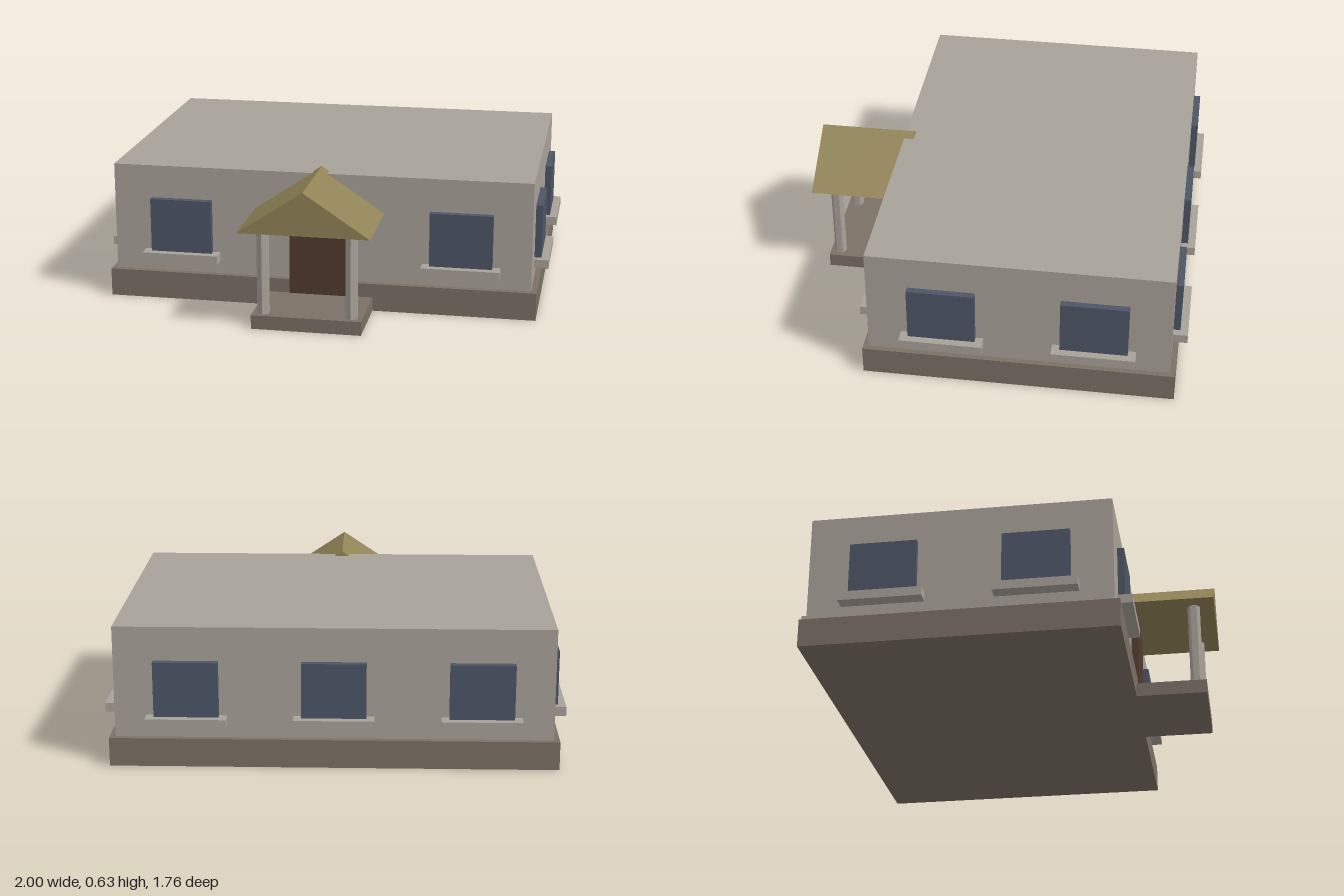
import * as THREE from 'three';

const mat = (name, color) => {
  const m = new THREE.MeshStandardMaterial({ color });
  m.name = name;
  return m;
};

export function createModel() {
  const stone = mat('wall stone', 0xa8a299);
  const base = mat('plinth brown', 0x7b7065);
  const glass = mat('window blue grey', 0x4d5667);
  const wood = mat('door brown', 0x523b2e);
  const tan = mat('porch roof tan', 0x918357);

  const house = new THREE.Group();
  house.name = 'house';

  // Box given by its minimum and maximum on each axis
  const box = (name, material, [x0, x1], [y0, y1], [z0, z1], parent = house) => {
    const mesh = new THREE.Mesh(new THREE.BoxGeometry(x1 - x0, y1 - y0, z1 - z0), material);
    mesh.position.set((x0 + x1) / 2, (y0 + y1) / 2, (z0 + z1) / 2);
    mesh.name = name;
    parent.add(mesh);
    return mesh;
  };

  // Main block on its plinth
  box('plinth', base, [-0.96, 0.96], [0, 0.125], [-0.84, 0.515]);
  box('walls', stone, [-0.935, 0.935], [0.01, 0.613], [-0.815, 0.49]);

  // Window with sill, facing +z before it is turned; z = 0 is the wall face
  const addWindow = (x, z, turn, width) => {
    const group = new THREE.Group();
    group.name = 'window';
    const w = width / 2, s = w + 0.034;
    box('pane', glass, [-w, w], [0.222, 0.465], [-0.02, 0.03], group);
    box('sill', stone, [-s, s], [0.184, 0.224], [-0.02, 0.064], group);
    group.position.set(x, 0, z);
    group.rotation.y = turn;
    house.add(group);
  };
  for (const x of [-0.627, 0.627]) addWindow(x, 0.49, 0, 0.276);
  for (const x of [-0.627, 0, 0.627]) addWindow(x, -0.815, Math.PI, 0.276);
  for (const z of [0.166, -0.488]) {
    addWindow(0.935, z, Math.PI / 2, 0.29);
    addWindow(-0.935, z, -Math.PI / 2, 0.29);
  }

  // Door and porch step
  box('door', wood, [-0.133, 0.133], [0.06, 0.446], [0.47, 0.52]);
  box('porchStep', base, [-0.24, 0.24], [0, 0.062], [0.45, 0.828]);

  // Six-sided porch columns
  for (const x of [-0.193, 0.193]) {
    const column = new THREE.Mesh(new THREE.CylinderGeometry(0.028, 0.028, 0.39, 6), stone.clone());
    column.material = stone;
    column.geometry = column.geometry.toNonIndexed();
    column.geometry.computeVertexNormals();
    column.position.set(x, 0.255, 0.783);
    column.name = 'porchColumn';
    house.add(column);
  }

  // Gabled porch roof, running slightly back over the wall top
  const gable = new THREE.Shape([
    new THREE.Vector2(-0.286, 0.445),
    new THREE.Vector2(0.286, 0.445),
    new THREE.Vector2(0, 0.635),
  ]);
  const roof = new THREE.Mesh(
    new THREE.ExtrudeGeometry(gable, { depth: 0.432, bevelEnabled: false }), tan);
  roof.position.z = 0.445;
  roof.name = 'porchRoof';
  house.add(roof);

  return house;
}
